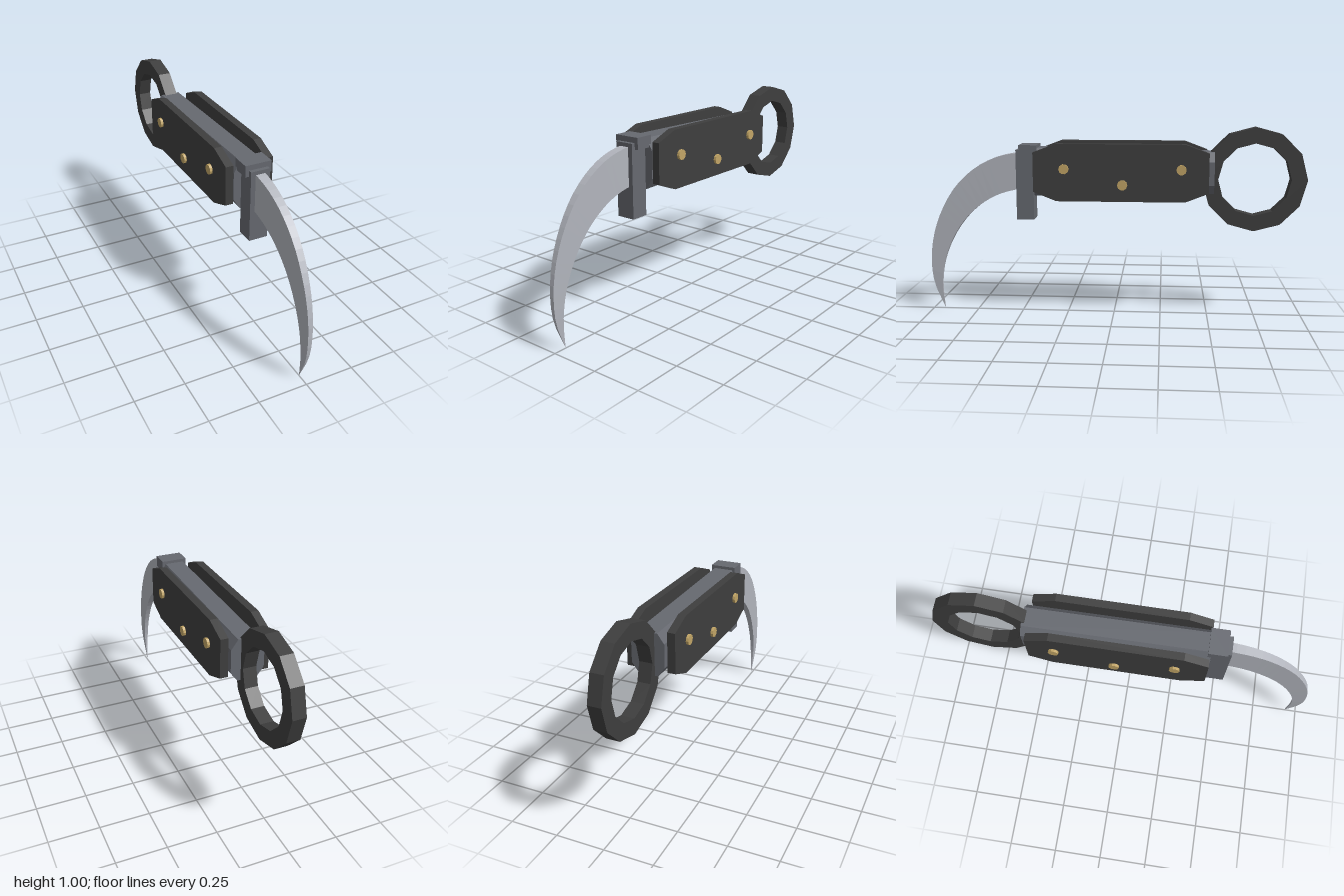
import * as THREE from 'three';

const material = (name, color) => {
  const m = new THREE.MeshStandardMaterial({ color });
  m.name = name;
  return m;
};

// Extrude a side profile of [z, y] points (plus optional hole) across x, centred on x = 0
function sideSlab(points, width, hole) {
  const toV = (p) => new THREE.Vector2(p[0], p[1]);
  const shape = new THREE.Shape(points.map(toV));
  if (hole) shape.holes.push(new THREE.Path(hole.map(toV)));
  const g = new THREE.ExtrudeGeometry(shape, { depth: width, bevelEnabled: false });
  return g.translate(0, 0, -width / 2).rotateY(-Math.PI / 2);
}

const polygon = (z, y, r, n) => Array.from({ length: n }, (_, i) => {
  const a = (i / n) * Math.PI * 2;
  return [z + r * Math.cos(a), y + r * Math.sin(a)];
});

// Curved blade: rectangular sections between spine and inner edge, thinning to the tip
function bladeGeometry() {
  const curve = (pts) => new THREE.CatmullRomCurve3(pts.map(([z, y]) => new THREE.Vector3(0, y, z)));
  const spine = curve([[0.41, 0.875], [0.52, 0.874], [0.64, 0.845], [0.75, 0.785], [0.85, 0.69],
    [0.925, 0.57], [0.975, 0.44], [0.998, 0.3], [0.99, 0.16], [0.935, 0.01]]);
  const edge = curve([[0.41, 0.685], [0.51, 0.682], [0.61, 0.655], [0.695, 0.61], [0.775, 0.545],
    [0.84, 0.465], [0.893, 0.37], [0.93, 0.265], [0.945, 0.15], [0.935, 0.01]]);
  const steps = 24;
  const rings = [];
  for (let i = 0; i <= steps; i++) {
    const t = i / steps;
    const s = spine.getPoint(t), e = edge.getPoint(t);
    const w = t < 0.85 ? 0.027 - 0.02 * t : 0.01 * (1 - t) / 0.15;
    rings.push([[w, s.y, s.z], [-w, s.y, s.z], [-w, e.y, e.z], [w, e.y, e.z]]);
  }
  const pos = [];
  const quad = (a, b, c, d) => pos.push(...a, ...b, ...c, ...a, ...c, ...d);
  for (let i = 0; i < steps; i++) {
    for (let k = 0; k < 4; k++) {
      const n = (k + 1) % 4;
      quad(rings[i][k], rings[i][n], rings[i + 1][n], rings[i + 1][k]);
    }
  }
  quad(rings[0][3], rings[0][2], rings[0][1], rings[0][0]);
  const g = new THREE.BufferGeometry();
  g.setAttribute('position', new THREE.Float32BufferAttribute(pos, 3));
  g.computeVertexNormals();
  return g;
}

// Eight-sided tang running through the handle, slightly lower at the back
function coreGeometry() {
  const half = [[0.05, 0.655], [0.085, 0.71], [0.085, 0.85], [0.05, 0.905]];
  const outline = [...half, ...half.map(([x, y]) => [-x, y]).reverse()];
  const shape = new THREE.Shape(outline.map(([x, y]) => new THREE.Vector2(x, y)));
  const g = new THREE.ExtrudeGeometry(shape, { depth: 0.935, bevelEnabled: false });
  g.translate(0, 0, -0.52);
  const p = g.attributes.position;
  for (let i = 0; i < p.count; i++) {
    if (p.getZ(i) < 0) p.setY(i, 0.785 + (p.getY(i) - 0.785) * 0.86);
  }
  g.computeVertexNormals();
  return g;
}

export function createModel() {
  const group = new THREE.Group();
  const steel = material('blade steel', 0xb2b5bd);
  const gunmetal = material('dark metal', 0x666970);
  const black = material('black grip', 0x3e3e3e);
  const brass = material('brass', 0xc2a566);
  const add = (name, geometry, mat, x = 0, y = 0, z = 0) => {
    const mesh = new THREE.Mesh(geometry, mat);
    mesh.name = name;
    mesh.position.set(x, y, z);
    group.add(mesh);
    return mesh;
  };

  add('blade', bladeGeometry(), steel);
  add('handleCore', coreGeometry(), gunmetal);

  // Guard: upright post with a wider cap
  add('guardPost', new THREE.BoxGeometry(0.098, 0.368, 0.092), gunmetal, 0, 0.709, 0.467);
  add('guardCap', new THREE.BoxGeometry(0.136, 0.058, 0.094), gunmetal, 0, 0.891, 0.446);

  // Grip plates and rivets on both sides
  const plate = sideSlab([[0.41, 0.685], [0.41, 0.888], [0.29, 0.933], [-0.37, 0.933],
    [-0.49, 0.888], [-0.49, 0.685], [-0.37, 0.638], [0.29, 0.638]], 0.04);
  const rivet = new THREE.CylinderGeometry(0.026, 0.026, 0.035, 10).rotateZ(Math.PI / 2).toNonIndexed();
  rivet.computeVertexNormals();
  for (const side of [1, -1]) {
    const label = side > 0 ? 'left' : 'right';
    add(label + 'GripPlate', plate, black, side * 0.105);
    for (const [y, z] of [[0.805, 0.25], [0.725, -0.05], [0.805, -0.35]]) {
      add(label + 'Rivet', rivet, brass, side * 0.121, y, z);
    }
  }

  // Finger ring
  add('fingerRing', sideSlab(polygon(-0.73, 0.745, 0.27, 12), 0.068,
    polygon(-0.73, 0.745, 0.188, 12)), black);
  return group;
}
